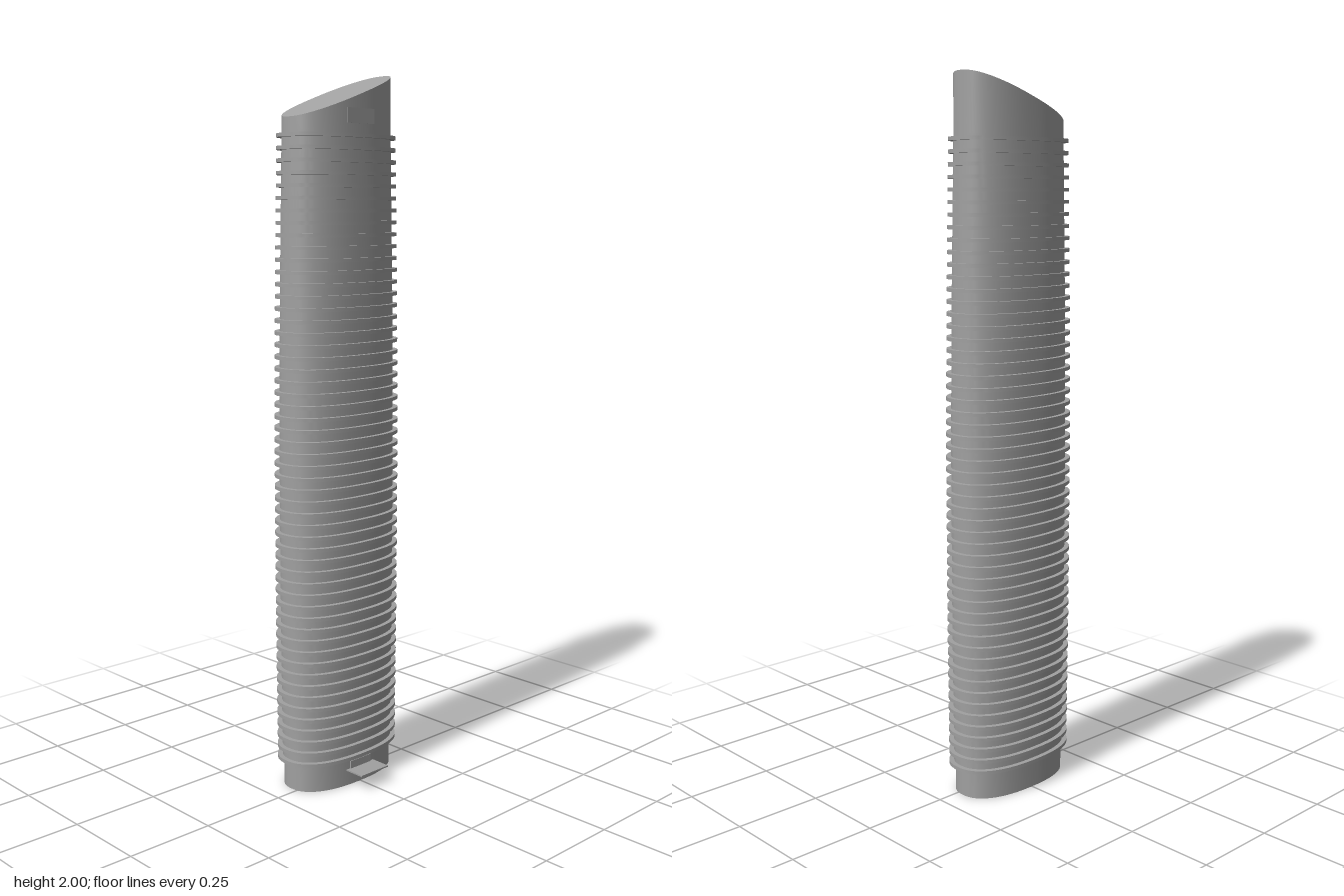
import * as THREE from 'three';
import { toCreasedNormals } from 'three/addons/utils/BufferGeometryUtils.js';

const SEG = 72, DEPTH = 0.53, CENTER_Z = -0.021;
const cutHeight = (x) => 1.9375 + x * 0.359; // slanted roof plane

// Half width of the tower at each height: [y, half width]
const OUTLINE = [[0.08, 0.187], [0.5, 0.19], [1.0, 0.19], [1.4, 0.185], [1.84, 0.176], [2, 0.174]];
function halfWidth(y) {
  let i = 0;
  while (i < OUTLINE.length - 2 && y > OUTLINE[i + 1][0]) i++;
  const [y0, a0] = OUTLINE[i], [y1, a1] = OUTLINE[i + 1];
  return a0 + (a1 - a0) * (y - y0) / (y1 - y0);
}

// Rounded-oval point with half sizes a (x) and b (z)
function oval(t, a, b) {
  const p = 2 / 2.35, c = Math.cos(t), s = Math.sin(t);
  return [a * Math.sign(c) * Math.abs(c) ** p, b * Math.sign(s) * Math.abs(s) ** p];
}

// Skin over oval rings {a, b, y}; y may be a function of x
function loft(rings) {
  const pos = [], index = [], n = SEG + 1;
  rings.forEach(({ a, b, y }, j) => {
    for (let i = 0; i <= SEG; i++) {
      const [x, z] = oval((i % SEG) / SEG * Math.PI * 2, a, b);
      pos.push(x, typeof y === 'function' ? y(x) : y, z + CENTER_Z);
      if (j && i < SEG) {
        const lo = (j - 1) * n + i, hi = j * n + i;
        if (rings[j].a > 0) index.push(lo, hi, hi + 1);
        if (rings[j - 1].a > 0) index.push(lo, hi + 1, lo + 1);
      }
    }
  });
  const g = new THREE.BufferGeometry();
  g.setAttribute('position', new THREE.Float32BufferAttribute(pos, 3));
  g.setIndex(index);
  return toCreasedNormals(g, 0.6);
}

const ring = (a, y) => ({ a, b: a * DEPTH, y });

export function createModel() {
  const group = new THREE.Group();
  group.name = 'tower';
  const concrete = new THREE.MeshStandardMaterial({ name: 'concrete grey', color: 0xa0a0a0 });
  const add = (name, geometry, parent = group) => {
    const mesh = new THREE.Mesh(geometry, concrete);
    mesh.name = name;
    parent.add(mesh);
    return mesh;
  };

  // Shell: recessed underside, open skirt, bulging shaft, slanted roof
  const rings = [ring(0, 0.05), ring(0.177, 0.05), ring(0.177, 0), ring(0.182, 0), ring(0.182, 0.078), ring(0.187, 0.078)];
  for (let i = 1; i <= 16; i++) {
    const y = 0.078 + (1.84 - 0.078) * i / 16;
    rings.push(ring(halfWidth(y), y));
  }
  rings.push(ring(0.175, cutHeight), ring(0, cutHeight));
  add('towerBody', loft(rings));

  // Projecting floor edges
  const fins = new THREE.Group();
  fins.name = 'floorFins';
  group.add(fins);
  const COUNT = 54, T = 0.01, OUT = 0.0135;
  for (let i = 0; i < COUNT; i++) {
    const y = 0.085 + (1.828 - 0.085) * i / (COUNT - 1);
    const a = halfWidth(y), inner = ring(a - 0.004, 0);
    const outer = { a: a + OUT, b: a * DEPTH + OUT };
    const lo = y - T / 2, hi = y + T / 2;
    add('floorFin', loft([{ ...inner, y: lo }, { ...outer, y: lo }, { ...outer, y: hi }, { ...inner, y: hi }]), fins);
  }

  // Entrance canopy and door
  add('entranceCanopy', new THREE.BoxGeometry(0.106, 0.004, 0.075)).position.set(0, 0.046, 0.0975);
  add('entranceDoor', new THREE.BoxGeometry(0.08, 0.024, 0.008)).position.set(0, 0.058, 0.073);

  // Shallow panel below the roof edge
  add('upperPanel', new THREE.BoxGeometry(0.1, 0.04, 0.008)).position.set(0, 1.88, 0.0685);

  return group;
}
